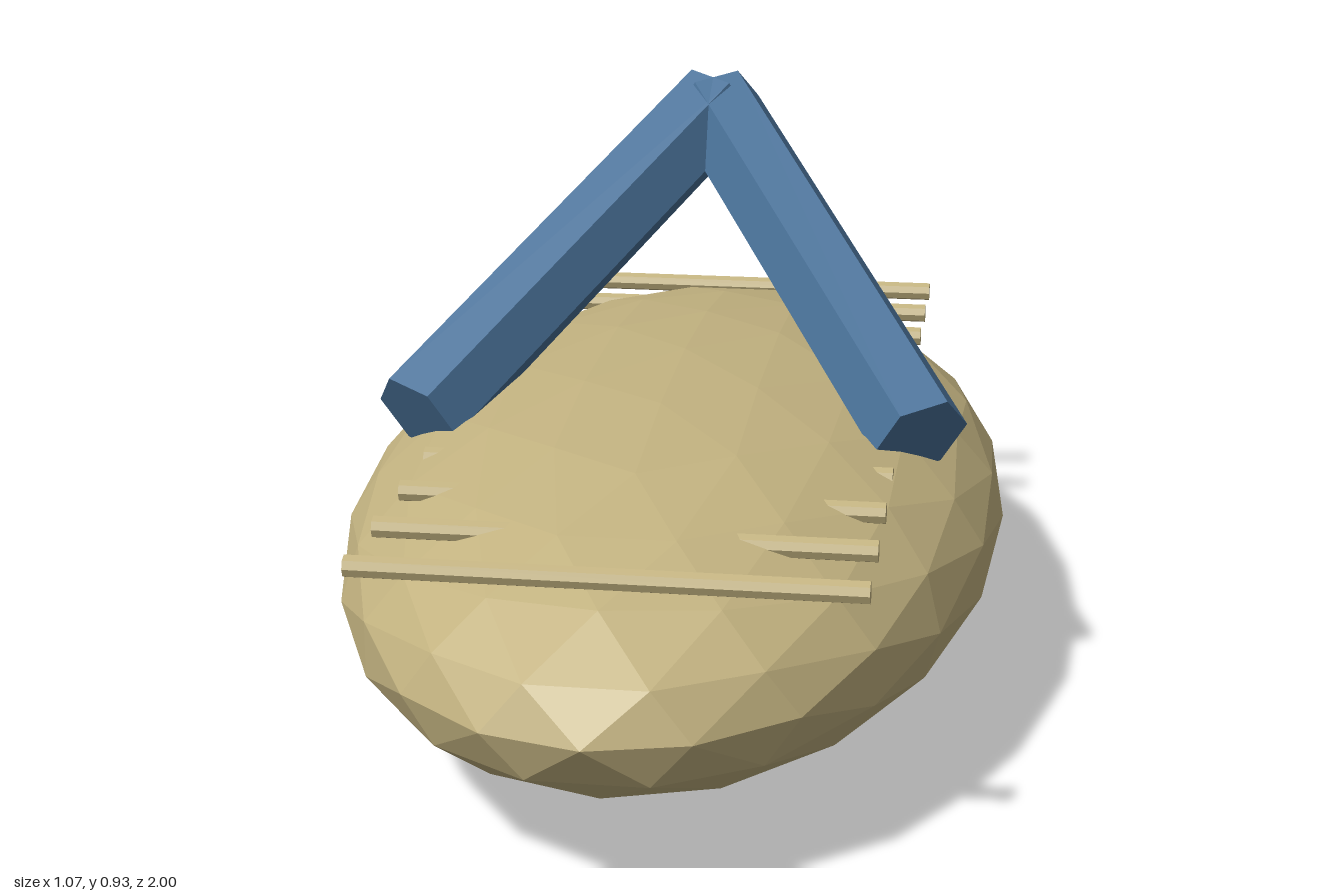
import * as THREE from 'three';

// Faceted unit sphere: an icosahedron whose triangles are repeatedly split in four
function icoSphere(levels) {
  let tris = new THREE.IcosahedronGeometry(1, 0).attributes.position.array;
  const mid = (a, b) => a.clone().add(b).normalize();
  for (let l = 0; l < levels; l++) {
    const next = [];
    for (let i = 0; i < tris.length; i += 9) {
      const [a, b, c] = [0, 3, 6].map(o => new THREE.Vector3().fromArray(tris, i + o));
      const ab = mid(a, b), bc = mid(b, c), ca = mid(c, a);
      for (const p of [a, ab, ca, ab, b, bc, ca, bc, c, ab, bc, ca]) next.push(p.x, p.y, p.z);
    }
    tris = next;
  }
  const geo = new THREE.BufferGeometry();
  geo.setAttribute('position', new THREE.Float32BufferAttribute(tris, 3));
  return geo;
}

export function createModel() {
  const model = new THREE.Group();
  model.name = 'sandal';
  const sand = new THREE.MeshStandardMaterial({ color: 0xc2b280, flatShading: true });
  sand.name = 'sand';
  const blue = new THREE.MeshStandardMaterial({ color: 0x4a7299, flatShading: true });
  blue.name = 'strap blue';

  const add = (name, geo, mat) => {
    const mesh = new THREE.Mesh(geo, mat);
    mesh.name = name;
    model.add(mesh);
    return mesh;
  };

  // Sole: long flattened faceted ellipsoid
  const sole = icoSphere(2);
  sole.rotateY(Math.PI / 2);
  sole.scale(0.533, 0.267, 1);
  sole.translate(0, 0.267, 0);
  sole.computeVertexNormals();
  add('sole', sole, sand);

  // Cross rods sunk into the top of the sole
  const rod = new THREE.CylinderGeometry(0.0167, 0.0167, 0.734, 8);
  rod.rotateZ(Math.PI / 2);
  for (const side of [-1, 1]) {
    for (let i = 2; i <= 5; i++) {
      add('crossRod', rod, sand).position.set(0, 0.434, side * 0.16 * i);
    }
  }

  // Two hexagonal strap arms meeting in a raised V
  for (const side of [-1, 1]) {
    const apex = new THREE.Vector3(0, 0.867, -0.388);
    const foot = new THREE.Vector3(side * 0.403, 0.466, 0.218);
    const along = foot.clone().sub(apex);
    const length = along.length();
    along.normalize();
    const out = new THREE.Vector3(side, 1, 0);
    out.addScaledVector(along, -out.dot(along)).normalize();
    const across = along.clone().cross(out);
    const geo = new THREE.CylinderGeometry(0.081, 0.081, length, 6, 1, false, side * 0.33);
    const arm = add(side > 0 ? 'leftStrap' : 'rightStrap', geo, blue);
    arm.quaternion.setFromRotationMatrix(new THREE.Matrix4().makeBasis(across, along, out));
    arm.position.copy(apex).add(foot).multiplyScalar(0.5);
  }

  return model;
}
